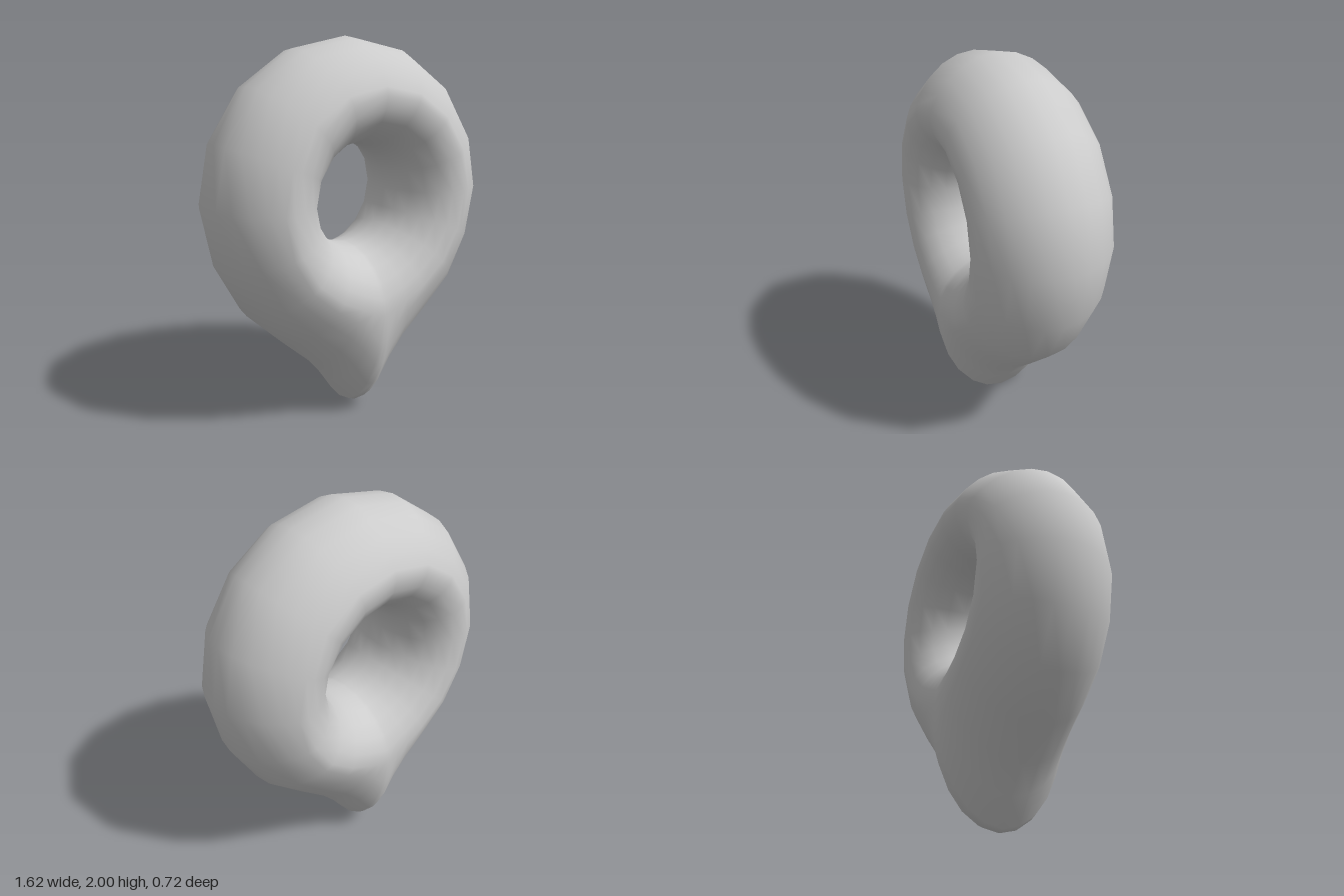
import * as THREE from 'three';

const CENTRE_Y = 1.19;   // height of the hole's axis
const TUBE_SIDES = 24;
const HALF_DEPTH = 0.362;

// Cross-sections from the tip up one side: [degrees from straight down, outer radius]
const tipSections = [[0, 1.19], [2, 1.175], [7.1, 1.05], [15, 0.94], [28.3, 0.863], [47, 0.835]];

function ringSections() {
  const half = [...tipSections];
  for (let a = 67.5; a < 180; a += 22.5) half.push([a, 0.812]);
  const mirrored = half.slice(1).reverse().map(([a, r]) => [360 - a, r]);
  return [...half, [180, 0.812], ...mirrored];
}

// Closed ring whose oval section stretches outwards into the point
function pinGeometry() {
  const sections = ringSections();
  const positions = [];
  const index = [];
  for (const [deg, outer] of sections) {
    const angle = THREE.MathUtils.degToRad(deg - 90);
    const t = (outer - 0.812) / (1.19 - 0.812);      // 0 on the ring, 1 at the tip
    const mid = 0.53 + 0.06 * t;
    const power = 1.4 - 0.4 * t;
    for (let j = 0; j < TUBE_SIDES; j++) {
      const v = (j / TUBE_SIDES) * Math.PI * 2;
      const c = Math.cos(v);
      const r = c > 0 ? mid + (outer - mid) * Math.pow(c, power) : mid + (mid - 0.268) * c;
      positions.push(r * Math.cos(angle), CENTRE_Y + r * Math.sin(angle), HALF_DEPTH * Math.sin(v));
    }
  }
  const n = sections.length;
  for (let i = 0; i < n; i++) {
    for (let j = 0; j < TUBE_SIDES; j++) {
      const i2 = (i + 1) % n, j2 = (j + 1) % TUBE_SIDES;
      const a = i * TUBE_SIDES + j, b = i2 * TUBE_SIDES + j;
      const c = i2 * TUBE_SIDES + j2, d = i * TUBE_SIDES + j2;
      index.push(a, b, c, a, c, d);
    }
  }
  const geometry = new THREE.BufferGeometry();
  geometry.setAttribute('position', new THREE.Float32BufferAttribute(positions, 3));
  geometry.setIndex(index);
  geometry.computeVertexNormals();
  return geometry;
}

export function createModel() {
  const group = new THREE.Group();
  group.name = 'mapPin';
  const body = new THREE.Mesh(pinGeometry(), new THREE.MeshStandardMaterial({ color: 0xcccccc }));
  body.name = 'pinBody';
  group.add(body);
  return group;
}
